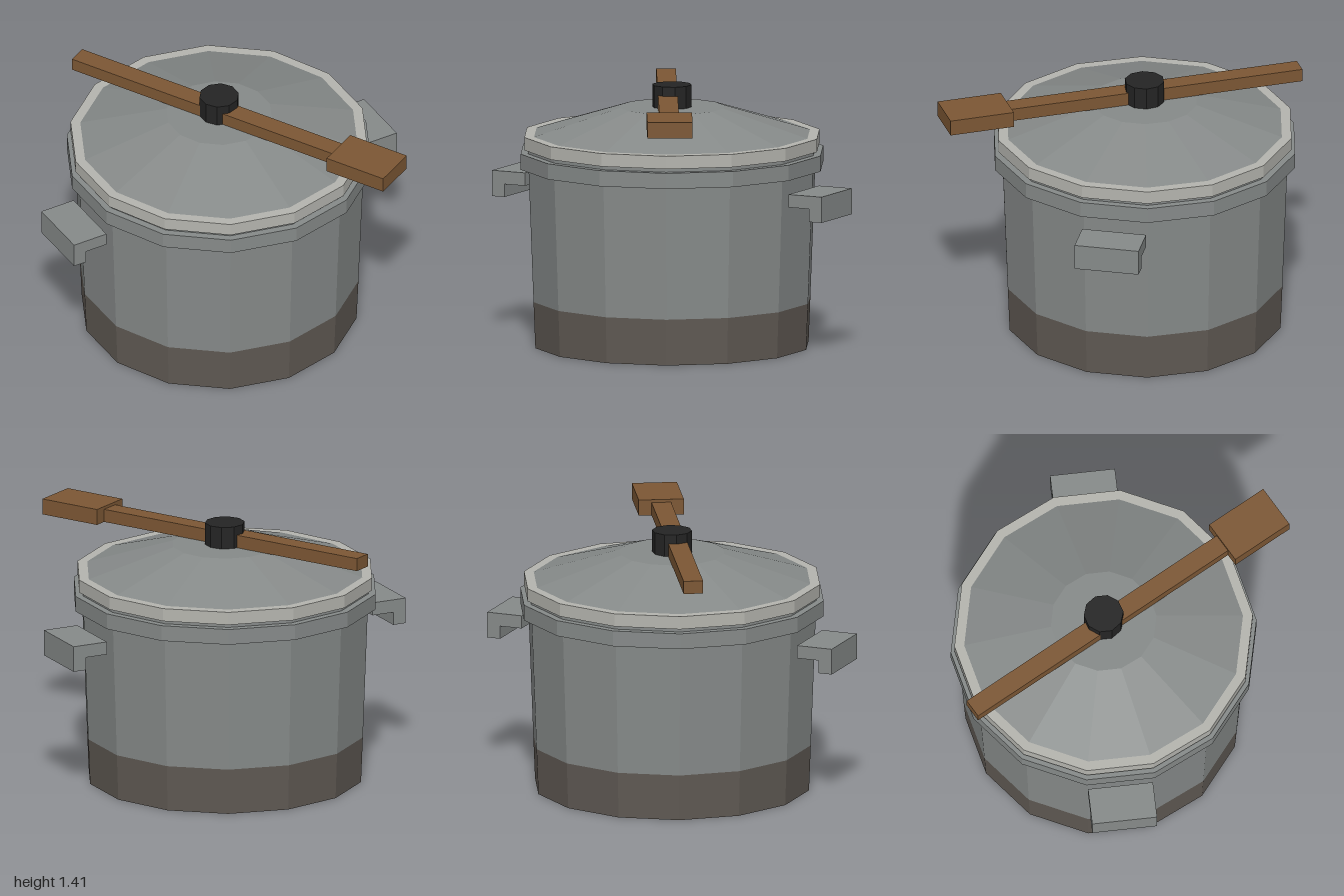
import * as THREE from 'three';

const flat = { flatShading: true };
const mat = (name, color) => {
  const m = new THREE.MeshStandardMaterial({ color, ...flat });
  m.name = name;
  return m;
};

export function createModel() {
  const steel = mat('steel', 0x868a89);
  const trim = mat('bright trim', 0xb4b4ae);
  const soot = mat('sooty base', 0x5f5953);
  const wood = mat('wood', 0x7c5734);
  const black = mat('black knob', 0x242424);

  const model = new THREE.Group();
  model.name = 'cookingPot';

  const pot = new THREE.Group();
  pot.name = 'pot';
  pot.position.z = -0.115;
  model.add(pot);

  // Faceted ring or drum between two heights
  const drum = (name, r0, r1, y0, y1, material, sides = 14) => {
    const mesh = new THREE.Mesh(new THREE.CylinderGeometry(r1, r0, y1 - y0, sides), material);
    mesh.name = name;
    mesh.position.y = (y0 + y1) / 2;
    pot.add(mesh);
  };
  const box = (parent, name, size, pos, material) => {
    const mesh = new THREE.Mesh(new THREE.BoxGeometry(...size), material);
    mesh.name = name;
    mesh.position.set(...pos);
    parent.add(mesh);
  };

  // Body
  drum('base', 0.745, 0.755, 0, 0.25, soot);
  drum('body', 0.755, 0.782, 0.25, 0.97, steel);
  drum('rim', 0.825, 0.825, 0.97, 1.055, steel);

  // Lid
  drum('lidNeck', 0.785, 0.785, 1.055, 1.075, steel);
  drum('lidEdge', 0.805, 0.805, 1.075, 1.145, trim);
  drum('lidDome', 0.752, 0.285, 1.145, 1.29, steel);
  drum('knob', 0.107, 0.107, 1.29, 1.41, black, 10);

  // Side handles with a downturned lip
  for (const side of [-1, 1]) {
    const handle = new THREE.Group();
    handle.name = side > 0 ? 'leftHandle' : 'rightHandle';
    const s = new THREE.Shape();
    [[0.8, 0.895], [0.8, 0.825], [0.925, 0.825], [0.925, 0.755], [1, 0.755], [1, 0.895]]
      .forEach(([x, y], i) => (i ? s.lineTo(x, y) : s.moveTo(x, y)));
    const geo = new THREE.ExtrudeGeometry(s, { depth: 0.35, bevelEnabled: false });
    geo.translate(0, 0, -0.175);
    const mesh = new THREE.Mesh(geo, steel);
    mesh.name = 'handleBracket';
    handle.add(mesh);
    handle.rotation.y = side > 0 ? 0 : Math.PI;
    pot.add(handle);
  }

  // Wooden paddle lying across the lid
  const paddle = new THREE.Group();
  paddle.name = 'paddle';
  paddle.position.set(-0.44, 0, -0.873);
  paddle.rotation.y = 0.5;
  box(paddle, 'paddleStick', [0.105, 0.07, 1.66], [0, 1.325, 0.83], wood);
  box(paddle, 'paddleHead', [0.243, 0.086, 0.354], [0, 1.333, 1.815], wood);
  model.add(paddle);

  return model;
}
